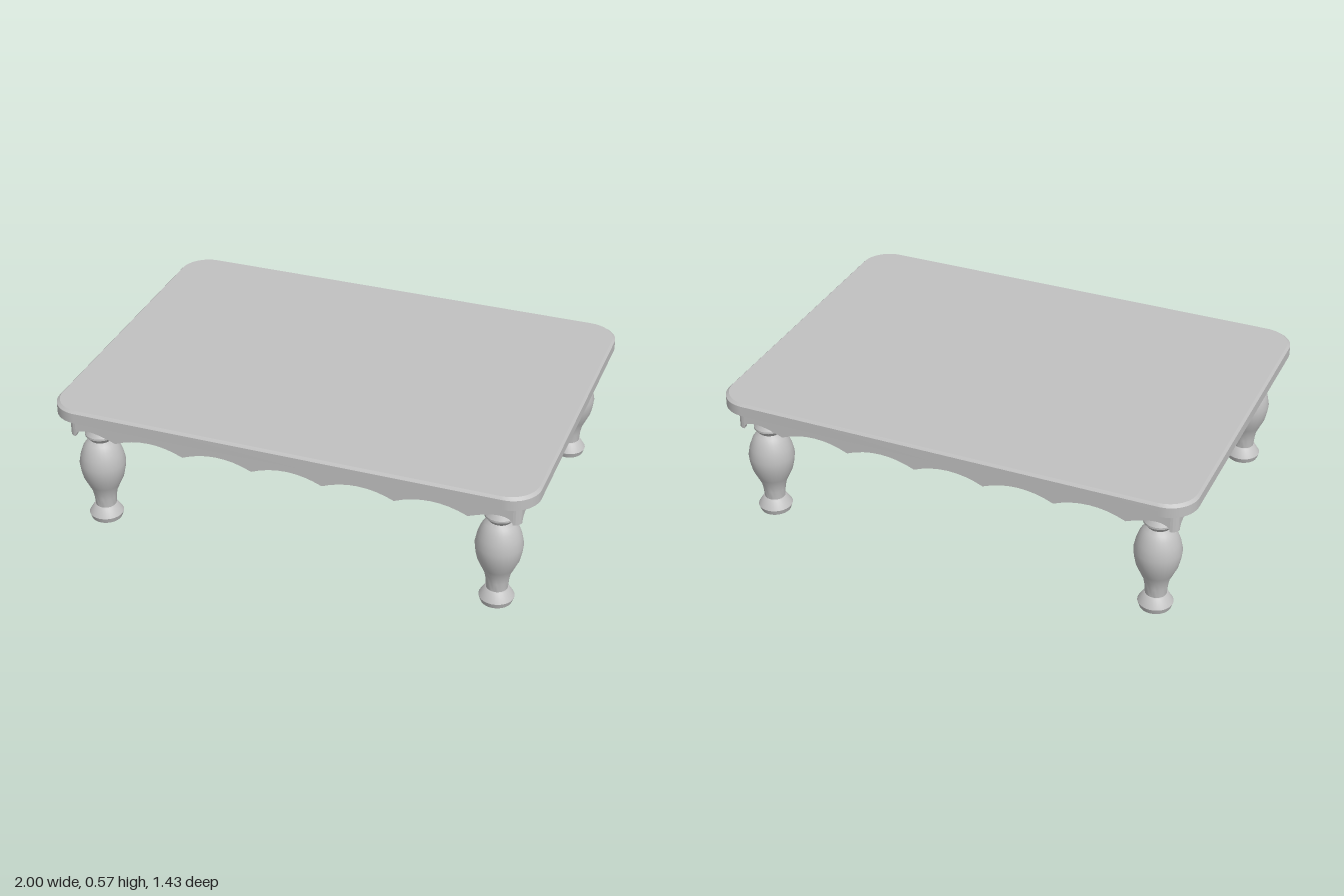
import * as THREE from 'three';
import { toCreasedNormals } from 'three/addons/utils/BufferGeometryUtils.js';

const HX = 1, HZ = 0.714;              // half size of the table top
const AX = 0.94, AZ = 0.656;           // half size of the apron
const THICK = 0.02, CORNER = 0.03;     // apron thickness and corner radius
const UNDER = 0.52, DIP = 0.42, PEAK = 0.453;

function roundedRect(hx, hz, r) {
  const s = new THREE.Shape();
  s.absarc(hx - r, hz - r, r, 0, Math.PI / 2);
  s.absarc(-hx + r, hz - r, r, Math.PI / 2, Math.PI);
  s.absarc(-hx + r, -hz + r, r, Math.PI, Math.PI * 1.5);
  s.absarc(hx - r, -hz + r, r, Math.PI * 1.5, Math.PI * 2);
  s.closePath();
  return s;
}

// Extrudes a plan shape upwards from y0 to y1
function slab(shape, y0, y1, topScaleX = 1, topScaleZ = 1) {
  const g = new THREE.ExtrudeGeometry(shape, { depth: y1 - y0, bevelEnabled: false, curveSegments: 10 });
  const p = g.attributes.position;
  for (let i = 0; i < p.count; i++) {
    if (p.getZ(i) > 1e-5) p.setXY(i, p.getX(i) * topScaleX, p.getY(i) * topScaleZ);
  }
  g.rotateX(-Math.PI / 2).translate(0, y0, 0);
  return toCreasedNormals(g, 0.5);
}

// Apron board with scalloped lower edge; cusps lie symmetrically about the middle
function apronBoard(half, cusp, scallops) {
  const s = new THREE.Shape();
  const end = half - CORNER;
  const step = (2 * cusp) / scallops;
  const hump = 2 * PEAK - DIP;
  const mid = cusp + (end - cusp) * 0.75;
  s.moveTo(-end, UNDER);
  s.lineTo(-end, DIP);
  s.quadraticCurveTo(-end + 0.003, PEAK - 0.005, -mid, PEAK - 0.002);
  s.quadraticCurveTo(-cusp - step * 0.3, PEAK + 0.003, -cusp, DIP);
  for (let i = 0; i < scallops; i++) {
    const x = -cusp + i * step;
    s.quadraticCurveTo(x + step / 2, hump, x + step, DIP);
  }
  s.quadraticCurveTo(cusp + step * 0.3, PEAK + 0.003, mid, PEAK - 0.002);
  s.quadraticCurveTo(end - 0.003, PEAK - 0.005, end, DIP);
  s.lineTo(end, UNDER);
  s.closePath();
  const g = new THREE.ExtrudeGeometry(s, { depth: THICK, bevelEnabled: false, curveSegments: 8 });
  g.translate(0, 0, -THICK);
  return toCreasedNormals(g, 0.5);
}

export function createModel() {
  const table = new THREE.Group();
  table.name = 'lowTable';
  const paint = new THREE.MeshStandardMaterial({ color: 0xc0c0c0 });
  paint.name = 'greyPaint';

  const add = (name, geometry, parent = table) => {
    const m = new THREE.Mesh(geometry, paint);
    m.name = name;
    parent.add(m);
    return m;
  };

  // Table top with a small chamfer on its upper edge
  add('tableTop', slab(roundedRect(HX, HZ, 0.12), UNDER, 0.563));
  add('tableTopChamfer', slab(roundedRect(HX, HZ, 0.12), 0.563, 0.573, 0.99, 0.986));

  // Scalloped apron on all four sides
  const apron = new THREE.Group();
  apron.name = 'apron';
  table.add(apron);
  const longBoard = apronBoard(AX, 0.735, 5);
  const shortBoard = apronBoard(AZ, 0.447, 3);
  add('frontApron', longBoard, apron).position.z = AZ;
  const back = add('backApron', longBoard, apron);
  back.position.z = -AZ;
  back.rotation.y = Math.PI;
  const left = add('leftApron', shortBoard, apron);
  left.position.x = AX;
  left.rotation.y = Math.PI / 2;
  const right = add('rightApron', shortBoard, apron);
  right.position.x = -AX;
  right.rotation.y = -Math.PI / 2;

  // Rounded apron corner, a quarter ring in plan
  const ring = new THREE.Shape();
  ring.absarc(0, 0, CORNER, 0, Math.PI / 2, false);
  ring.absarc(0, 0, CORNER - THICK, Math.PI / 2, 0, true);
  ring.closePath();
  const cornerGeometry = slab(ring, DIP, UNDER);

  // Turned leg profile: foot, ankle, belly, collar, head
  const profile = [
    [0, 0], [0.063, 0], [0.071, 0.023], [0.048, 0.06], [0.043, 0.063], [0.046, 0.1],
    [0.052, 0.132], [0.066, 0.163], [0.083, 0.2], [0.091, 0.235], [0.095, 0.27],
    [0.087, 0.31], [0.074, 0.345], [0.06, 0.365], [0.045, 0.378],
    [0.063, 0.4], [0.063, 0.408], [0.047, 0.434], [0.059, 0.45], [0.066, 0.475], [0.068, UNDER],
  ].map(([r, y]) => new THREE.Vector2(r, y));
  const legGeometry = toCreasedNormals(new THREE.LatheGeometry(profile, 28), 0.5);

  const corners = [[1, -1, 'backLeft'], [-1, -1, 'backRight'], [-1, 1, 'frontRight'], [1, 1, 'frontLeft']];
  corners.forEach(([sx, sz, place], i) => {
    add(place + 'Leg', legGeometry).position.set(sx * 0.842, 0, sz * 0.573);
    const c = add(place + 'ApronCorner', cornerGeometry, apron);
    c.position.set(sx * (AX - CORNER), 0, sz * (AZ - CORNER));
    c.rotation.y = (i * Math.PI) / 2;
  });

  return table;
}
